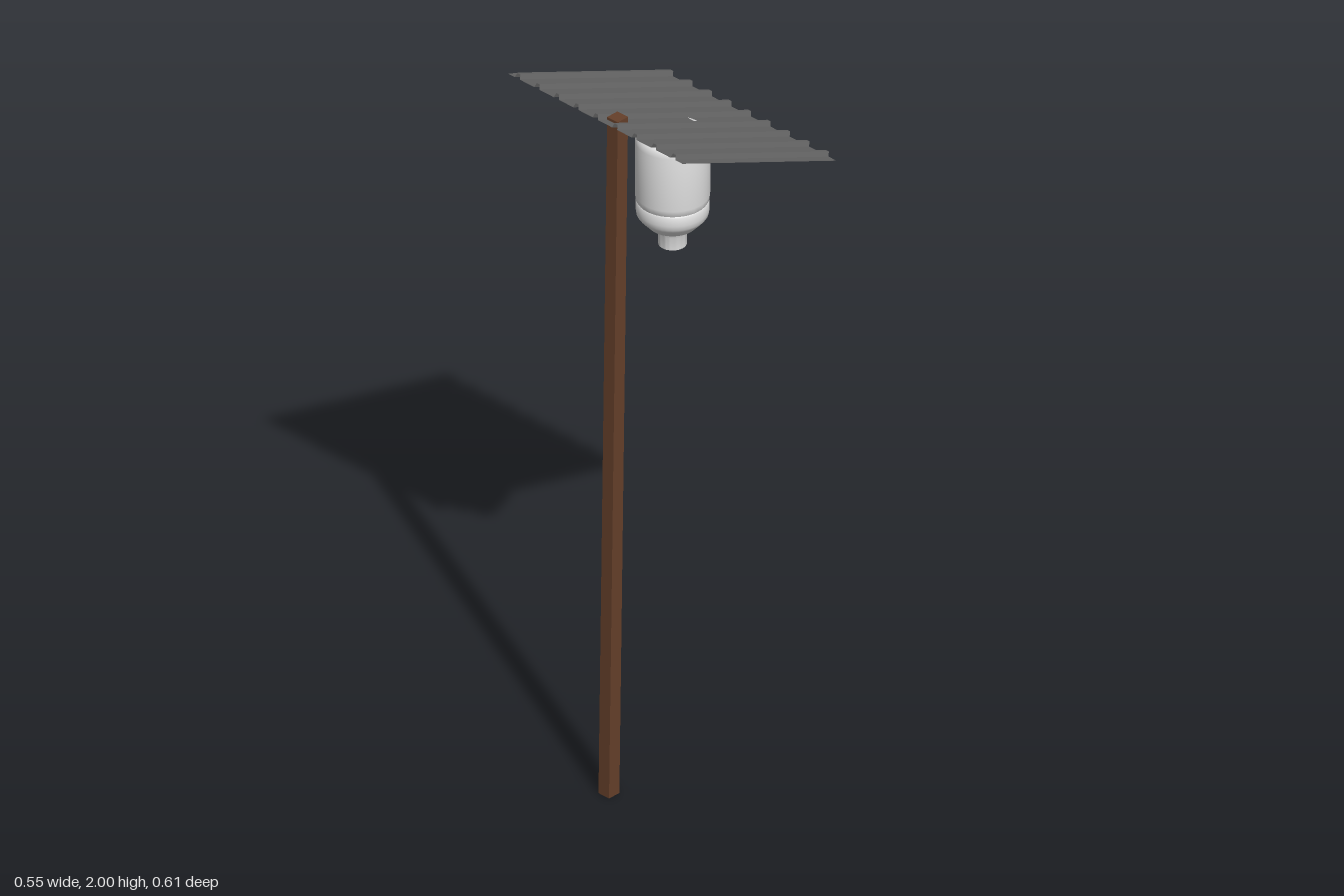
import * as THREE from 'three';
import { toCreasedNormals } from 'three/addons/utils/BufferGeometryUtils.js';

const wood = new THREE.MeshStandardMaterial({ color: 0x65402a });
wood.name = 'brown wood';
const metal = new THREE.MeshStandardMaterial({ color: 0x686868, side: THREE.DoubleSide });
metal.name = 'grey sheet metal';
const plastic = new THREE.MeshStandardMaterial({ color: 0xdedede, side: THREE.DoubleSide });
plastic.name = 'white plastic';

function addMesh(parent, name, geometry, material) {
  const mesh = new THREE.Mesh(geometry, material);
  mesh.name = name;
  parent.add(mesh);
  return mesh;
}

// Slightly leaning square post with level ends
function postGeometry() {
  const height = 1.982;
  const geometry = new THREE.BoxGeometry(0.037, height, 0.037).translate(0, height / 2, 0);
  const pos = geometry.attributes.position;
  for (let i = 0; i < pos.count; i++) {
    pos.setX(i, pos.getX(i) + (pos.getY(i) / height) * 0.031);
  }
  geometry.computeVertexNormals();
  return geometry;
}

// Thin sheet with nine raised ribs, extruded along its slope
function roofGeometry(length) {
  const halfWidth = 0.304, pitch = 0.068, ribHeight = 0.0125, thickness = 0.0015;
  const line = [[-halfWidth, 0]];
  for (let i = -4; i <= 4; i++) {
    const c = i * pitch + 0.001;
    line.push([c - 0.009, 0], [c - 0.005, ribHeight], [c + 0.005, ribHeight], [c + 0.009, 0]);
  }
  line.push([halfWidth, 0]);
  const outline = [
    ...line.map(([s, h]) => new THREE.Vector2(s, h - thickness)),
    ...line.reverse().map(([s, h]) => new THREE.Vector2(s, h)),
  ];
  const geometry = new THREE.ExtrudeGeometry(new THREE.Shape(outline), { depth: length, bevelEnabled: false });
  return geometry.rotateY(Math.PI / 2);
}

// Upside-down bottle, open at the neck
function bottleGeometry() {
  const profile = [
    [0.036, 0], [0.037, 0.036], [0.041, 0.046], [0.062, 0.058], [0.084, 0.082],
    [0.091, 0.092], [0.093, 0.105], [0.093, 0.128], [0.0905, 0.132], [0.093, 0.136],
    [0.0945, 0.15], [0.0945, 0.304], [0.0925, 0.314], [0.088, 0.322], [0.078, 0.328],
    [0.066, 0.33], [0, 0.33],
  ].map(([r, y]) => new THREE.Vector2(r, y));
  return toCreasedNormals(new THREE.LatheGeometry(profile, 40), 0.6);
}

export function createModel() {
  const model = new THREE.Group();
  model.name = 'shelteredBottleOnPost';

  const post = addMesh(model, 'post', postGeometry(), wood);
  post.position.set(-0.258, 0, 0.027);

  // Roof falls from the post side towards +x
  const start = new THREE.Vector2(-0.277, 1.988);
  const end = new THREE.Vector2(0.271, 1.752);
  const roof = addMesh(model, 'corrugatedRoof', roofGeometry(start.distanceTo(end)), metal);
  roof.position.set(start.x, start.y, -0.001);
  roof.rotation.z = Math.atan2(end.y - start.y, end.x - start.x);

  const bottle = addMesh(model, 'bottle', bottleGeometry(), plastic);
  bottle.position.set(-0.029, 1.521, 0.026);

  return model;
}
